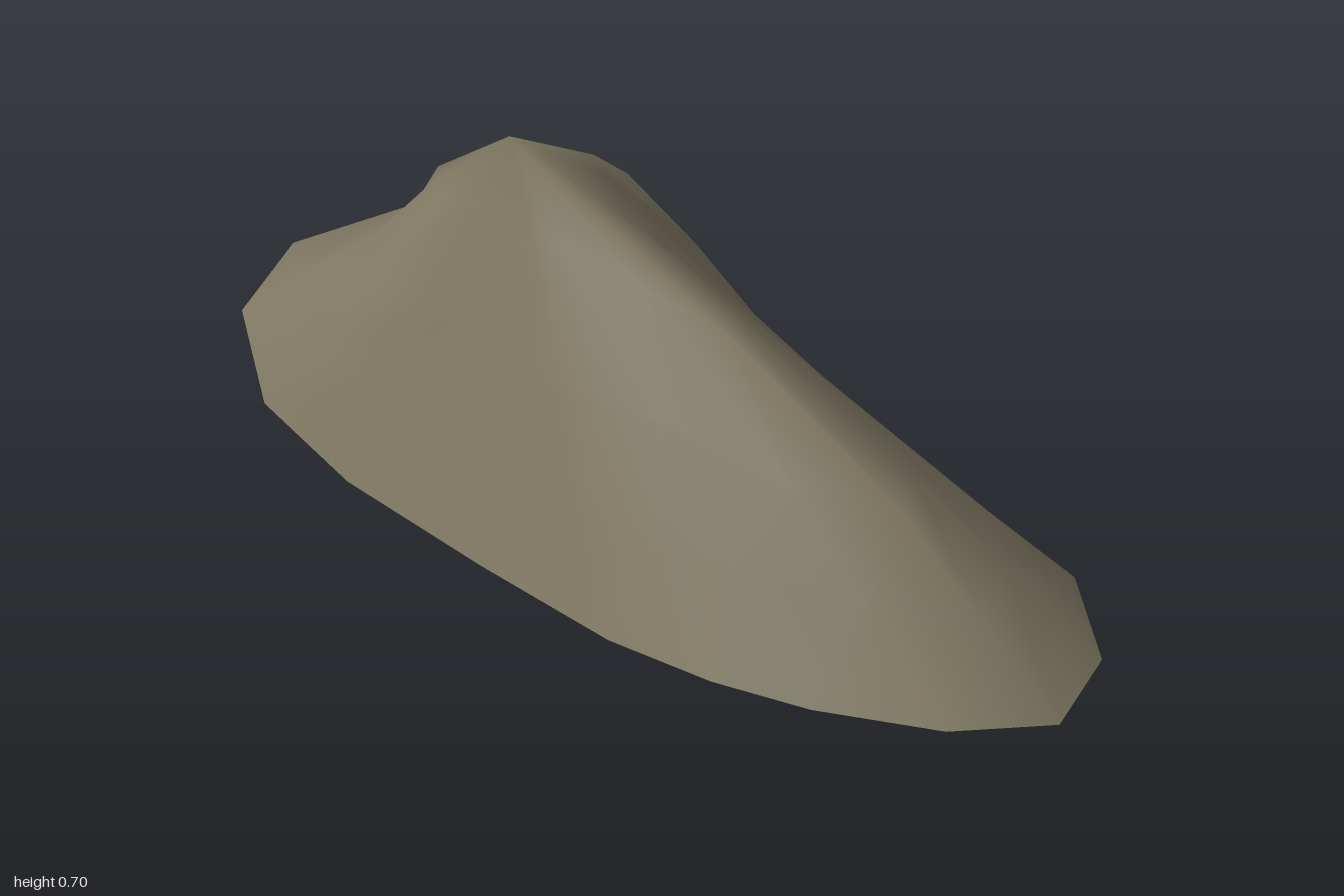
import * as THREE from 'three';

// Outline on the ground, as [x, z], running anticlockwise seen from above.
const outline = [
  [0.05, -1], [-0.18, -0.9], [-0.355, -0.64], [-0.412, -0.35], [-0.417, 0], [-0.41, 0.3],
  [-0.37, 0.5], [-0.31, 0.67], [-0.2, 0.87], [-0.06, 1], [0.12, 0.96], [0.265, 0.8],
  [0.29, 0.55], [0.295, 0.28], [0.38, -0.06], [0.415, -0.44], [0.28, -0.8],
];

// Contour half way up the slopes.
const shoulder = [
  [0, 0.31, -0.575], [-0.14, 0.325, -0.54], [-0.28, 0.375, -0.385], [-0.284, 0.365, -0.23],
  [-0.277, 0.35, -0.09], [-0.275, 0.35, 0.06], [-0.255, 0.35, 0.16], [-0.225, 0.345, 0.26],
  [-0.17, 0.3, 0.5], [-0.08, 0.29, 0.66], [0.01, 0.275, 0.62], [0.1, 0.25, 0.52],
  [0.13, 0.28, 0.32], [0.17, 0.3, 0.13], [0.27, 0.3, -0.1], [0.35, 0.31, -0.345],
  [0.17, 0.29, -0.51],
];

// Contour just below the summit.
const crest = [
  [-0.09, 0.51, -0.41], [-0.15, 0.53, -0.36], [-0.207, 0.55, -0.285], [-0.195, 0.57, -0.22],
  [-0.2, 0.545, -0.135], [-0.2, 0.545, -0.07], [-0.19, 0.545, -0.025], [-0.175, 0.545, 0.01],
  [-0.14, 0.52, 0.15], [-0.11, 0.49, 0.3], [-0.05, 0.485, 0.25], [-0.01, 0.485, 0.16],
  [0.01, 0.495, 0.06], [0.03, 0.515, -0.03], [0.06, 0.535, -0.12], [0.1, 0.535, -0.2],
  [0, 0.53, -0.31],
];

const summit = [-0.14, 0.698, -0.175];

export function createModel() {
  const base = outline.map(([x, z]) => [x, 0, z]);
  // Lower slope runs midway between ground and shoulder, steeper at the side spur.
  const lower = base.map((p, i) => p.map((v, k) => (v + shoulder[i][k]) / 2));
  lower[15] = [0.405, 0.165, -0.437];

  const rings = [base, lower, shoulder, crest];
  const n = base.length;
  const top = rings.length * n;
  const index = [];
  for (let i = 0; i < n; i++) {
    const j = (i + 1) % n;
    for (let r = 0; r < rings.length - 1; r++) {
      const a = r * n + i, b = r * n + j;
      index.push(a, b, b + n, a, b + n, a + n);
    }
    index.push(top - n + i, top - n + j, top);
  }

  const geometry = new THREE.BufferGeometry();
  geometry.setAttribute('position', new THREE.Float32BufferAttribute([...rings.flat(2), ...summit], 3));
  geometry.setIndex(index);
  geometry.computeVertexNormals();

  // Open-bottomed shell.
  const stone = new THREE.MeshStandardMaterial({ color: 0x7f7862, side: THREE.DoubleSide });
  stone.name = 'stone';
  const rock = new THREE.Mesh(geometry, stone);
  rock.name = 'rock';

  const group = new THREE.Group();
  group.name = 'rockFormation';
  group.add(rock);
  return group;
}
